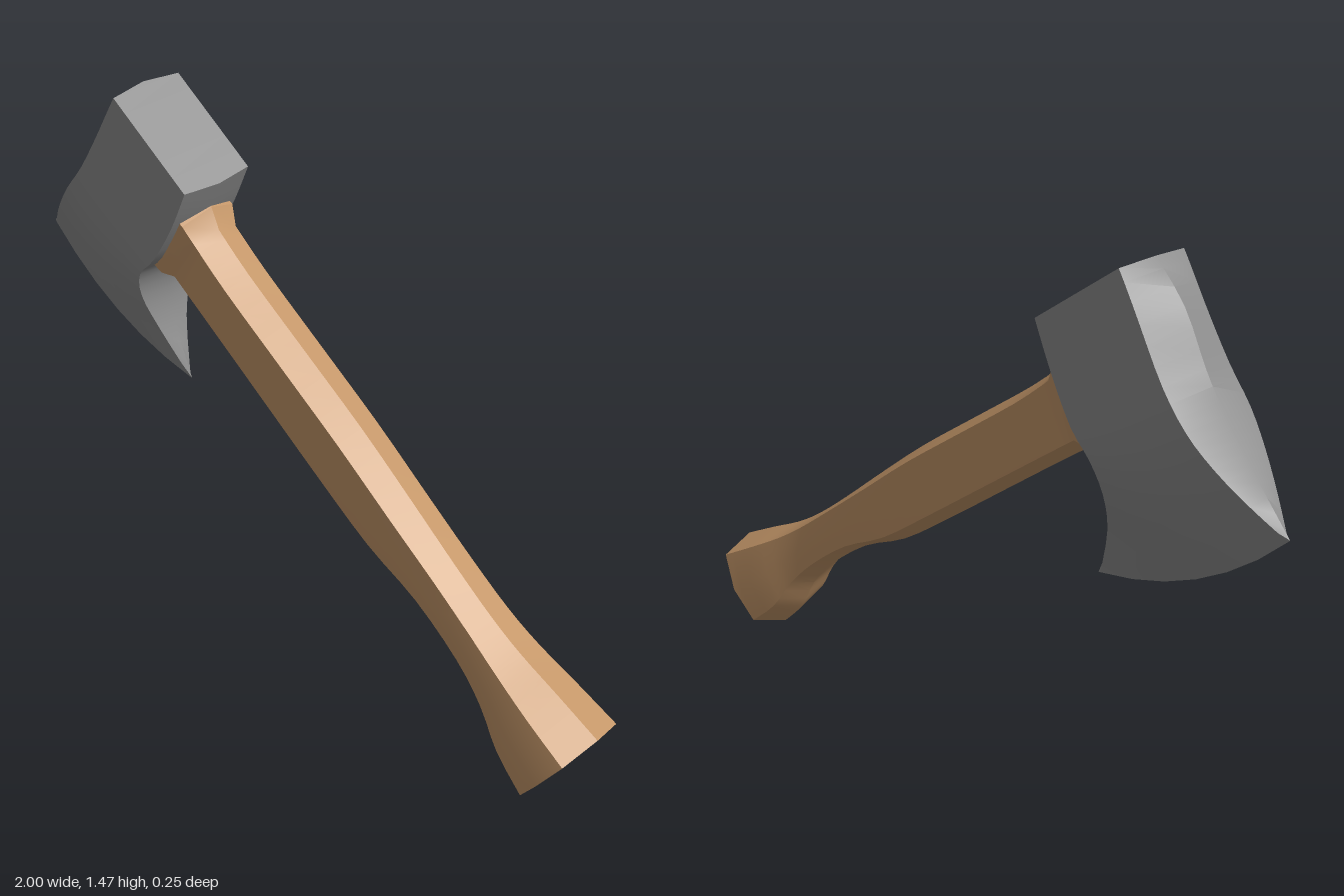
import * as THREE from 'three';
import { toCreasedNormals } from 'three/addons/utils/BufferGeometryUtils.js';

// Ring of points from upper ridge to lower ridge (side faces +/-z), mirrored to the other side.
// across: list of [fraction from upper to lower point, half thickness, sag along dir]
function ring(U, L, across, dir, sign) {
  const half = across.map(([f, t, sag]) => [
    U[0] + (L[0] - U[0]) * f + dir[0] * sag,
    U[1] + (L[1] - U[1]) * f + dir[1] * sag,
    t * sign,
  ]);
  const back = half.slice(1, -1).reverse().map(([x, y, z]) => [x, y, -z]);
  return [...half, ...back];
}

// Skin a row of equal rings and close both ends
function loft(rings, crease) {
  const pos = [];
  const n = rings[0].length;
  const tri = (a, b, c) => pos.push(...a, ...b, ...c);
  for (let i = 0; i < rings.length - 1; i++) {
    for (let j = 0; j < n; j++) {
      const k = (j + 1) % n, A = rings[i], B = rings[i + 1];
      tri(A[j], A[k], B[j]);
      tri(A[k], B[k], B[j]);
    }
  }
  const first = rings[0], last = rings[rings.length - 1];
  for (let j = 0; j < n / 2; j++) {
    const p = j + 1, q = n - j - 1, r = (n - j) % n;
    if (p !== q) { tri(last[j], last[p], last[q]); tri(first[j], first[q], first[p]); }
    if (r !== j) { tri(last[j], last[q], last[r]); tri(first[j], first[r], first[q]); }
  }
  const g = new THREE.BufferGeometry();
  g.setAttribute('position', new THREE.Float32BufferAttribute(pos, 3));
  return toCreasedNormals(g, crease);
}

// Smooth the station table by running a spline through every column
function refine(rows, steps) {
  const out = [];
  const at = (i) => rows[Math.max(0, Math.min(rows.length - 1, i))];
  const cr = (a, b, c, d, t) => b + 0.5 * t * (c - a + t * (2 * a - 5 * b + 4 * c - d + t * (3 * (b - c) + d - a)));
  for (let i = 0; i < rows.length - 1; i++) {
    for (let s = 0; s < steps; s++) {
      out.push(rows[i].map((v, c) => cr(at(i - 1)[c], v, at(i + 1)[c], at(i + 2)[c], s / steps)));
    }
  }
  out.push(rows[rows.length - 1]);
  return out;
}

export function createModel() {
  const steel = new THREE.MeshStandardMaterial({ color: 0x8e8e8e });
  steel.name = 'steel';
  const wood = new THREE.MeshStandardMaterial({ color: 0xc6986a });
  wood.name = 'wood';

  // Head stations, poll to cutting edge: upper x, y, lower x, y, half thickness, upper inset, lower inset, sag
  const headRows = refine([
    [-0.58, 1.477, -0.305, 1.285, 0.11, 0.04, 0.03, 0],
    [-0.67, 1.38, -0.36, 1.165, 0.111, 0.11, 0.03, 0],
    [-0.74, 1.25, -0.43, 1.05, 0.115, 0.09, 0.03, 0.005],
    [-0.80, 1.157, -0.49, 0.985, 0.113, 0.06, 0.03, 0.02],
    [-0.86, 1.08, -0.513, 0.90, 0.09, 0.04, 0.03, 0.035],
    [-0.93, 1.00, -0.497, 0.79, 0.05, 0.025, 0.02, 0.045],
    [-1.0, 0.92, -0.438, 0.638, 0.001, 0.01, 0.01, 0.055],
  ], 3);
  const bladeDir = [-0.45, -0.89];
  const headRings = headRows.map(([ux, uy, lx, ly, t, a, b, sag]) => {
    const across = [[0, 0, 0]];
    for (let k = 0; k <= 6; k++) {
      const f = a + (1 - a - b) * k / 6;
      across.push([f, t, sag * 4 * f * (1 - f)]);
    }
    across.push([1, 0, 0]);
    return ring([ux, uy], [lx, ly], across, bladeDir, -1);
  });
  const head = new THREE.Mesh(loft(headRings, 0.5), steel);
  head.name = 'axeHead';

  // Handle stations, head to butt: upper x, y, lower x, y, half width at corners, half width in the middle
  const collar = [
    [-0.40, 1.245, -0.54, 1.01, 0.088, 0.088],
    [-0.336, 1.207, -0.462, 0.975, 0.088, 0.088],
    [-0.31, 1.15, -0.425, 0.978, 0.073, 0.073],
  ];
  const shaft = refine([
    [-0.31, 1.15, -0.425, 0.978, 0.073, 0.073],
    [-0.2, 1.06, -0.3, 0.89, 0.073, 0.073],
    [0.0, 0.92, -0.1, 0.745, 0.073, 0.073],
    [0.2, 0.78, 0.1, 0.6, 0.073, 0.073],
    [0.38, 0.64, 0.28, 0.477, 0.072, 0.073],
    [0.53, 0.52, 0.45, 0.395, 0.071, 0.074],
    [0.65, 0.43, 0.6, 0.285, 0.074, 0.08],
    [0.75, 0.368, 0.69, 0.19, 0.083, 0.093],
    [0.87, 0.31, 0.755, 0.085, 0.097, 0.112],
    [1.0, 0.245, 0.84, 0.003, 0.108, 0.127],
  ], 3);
  const handleRings = [...collar.slice(0, 2), ...shaft].map(([ux, uy, lx, ly, c, m]) =>
    ring([ux, uy], [lx, ly],
      [[0, 0, 0], [0.13, c, 0], [0.5, m, 0], [0.87, c * 0.97, 0], [1, 0, 0]], [0, 0], 1));
  const handle = new THREE.Mesh(loft(handleRings, 0.5), wood);
  handle.name = 'handle';

  const group = new THREE.Group();
  group.name = 'hatchet';
  group.add(head, handle);
  return group;
}
